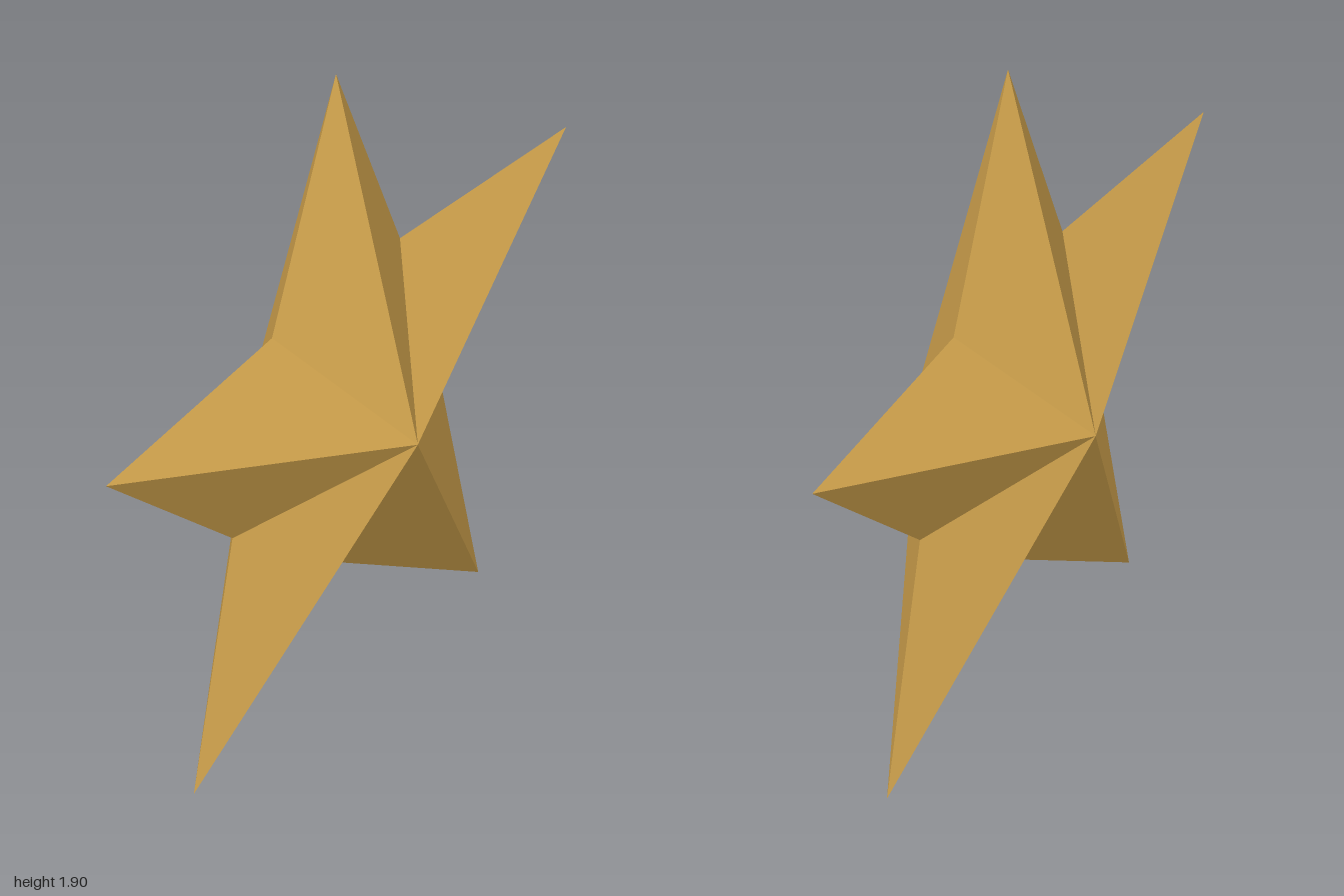
import * as THREE from 'three';

const OUTER = 1.0515, INNER = 0.473, DEPTH = 0.26;
const CENTRE_Y = OUTER * Math.cos(Math.PI / 5);

// One faceted half of the star: a fan from the raised centre to the outline.
function starHalf(side) {
  const rim = (i) => {
    const angle = Math.PI / 2 + (i * Math.PI) / 5;
    const r = i % 2 ? INNER : OUTER;
    return [r * Math.cos(angle), r * Math.sin(angle), 0];
  };
  const positions = [];
  for (let i = 0; i < 10; i++) {
    const a = rim(i), b = rim(i + 1);
    positions.push(0, 0, side * DEPTH, ...(side > 0 ? a : b), ...(side > 0 ? b : a));
  }
  const geometry = new THREE.BufferGeometry();
  geometry.setAttribute('position', new THREE.Float32BufferAttribute(positions, 3));
  geometry.computeVertexNormals();
  return geometry;
}

export function createModel() {
  const gold = new THREE.MeshStandardMaterial({ color: 0xd8a950 });
  gold.name = 'gold';
  gold.flatShading = true;

  const star = new THREE.Group();
  star.name = 'star';
  for (const [name, side] of [['starFront', 1], ['starBack', -1]]) {
    const half = new THREE.Mesh(starHalf(side), gold);
    half.name = name;
    half.position.y = CENTRE_Y;
    star.add(half);
  }
  return star;
}
